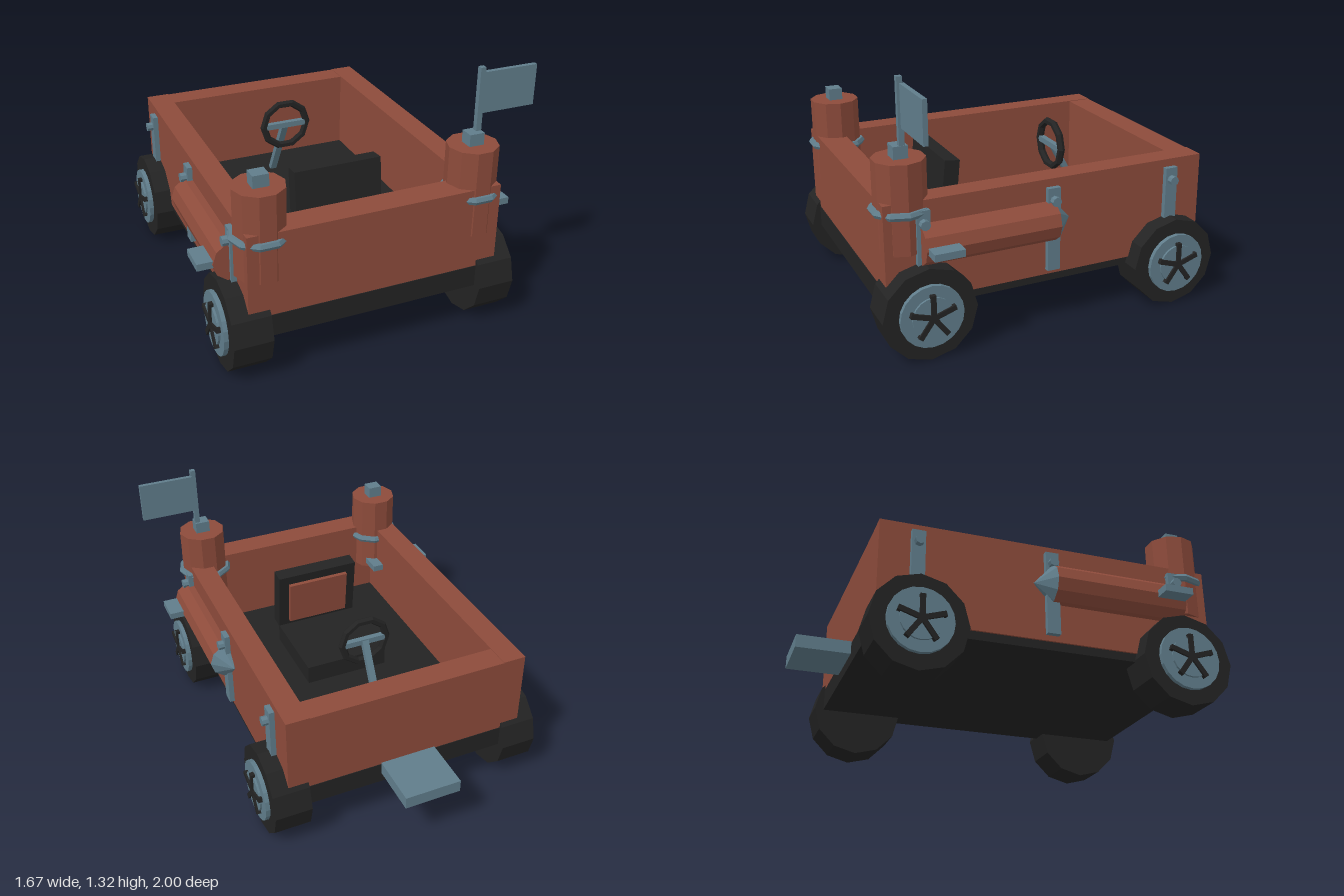
import * as THREE from 'three';

const material = (name, color) => {
  const m = new THREE.MeshStandardMaterial({ color, flatShading: true });
  m.name = name;
  return m;
};

export function createModel() {
  const model = new THREE.Group();
  model.name = 'toyCart';
  const brown = material('redBrown', 0x8d4b3b);
  const steel = material('blueGrey', 0x607d8b);
  const dark = material('charcoal', 0x232323);

  const add = (name, geo, mat, x = 0, y = 0, z = 0, parent = model) => {
    const mesh = new THREE.Mesh(geo, mat);
    mesh.name = name;
    mesh.position.set(x, y, z);
    parent.add(mesh);
    return mesh;
  };
  // Box given by its limits on each axis
  const box = (name, mat, [x0, x1], [y0, y1], [z0, z1], parent) =>
    add(name, new THREE.BoxGeometry(x1 - x0, y1 - y0, z1 - z0), mat,
      (x0 + x1) / 2, (y0 + y1) / 2, (z0 + z1) / 2, parent);
  // Cylinder lying along x
  const disc = (name, mat, r, w, sides, x, y, z, parent) =>
    add(name, new THREE.CylinderGeometry(r, r, w, sides).rotateZ(Math.PI / 2), mat, x, y, z, parent);

  // Tub
  box('chassis', dark, [-0.625, 0.625], [0.225, 0.337], [-0.733, 0.953]);
  box('frontWall', brown, [-0.52, 0.52], [0.33, 0.757], [0.81, 0.95]);
  box('backWall', brown, [-0.52, 0.52], [0.33, 0.757], [-0.73, -0.6]);
  box('backStep', steel, [-0.15, 0.145], [0.28, 0.345], [-1, -0.7]);

  // Seat, facing the back wall
  box('seatCushion', dark, [-0.23, 0.23], [0.33, 0.44], [0.01, 0.46]);
  const backrest = new THREE.Group();
  backrest.name = 'backrest';
  backrest.position.set(0, 0.605, 0.475);
  backrest.rotation.x = -0.1;
  model.add(backrest);
  box('backrestFrame', dark, [-0.23, 0.23], [-0.17, 0.17], [-0.04, 0.04], backrest);
  box('backrestPad', brown, [-0.172, 0.172], [-0.13, 0.12], [-0.062, -0.03], backrest);

  // Steering wheel and column
  add('steeringWheel', new THREE.TorusGeometry(0.125, 0.02, 6, 10), dark, 0, 0.7, -0.205);
  box('steeringSpoke', steel, [-0.115, 0.115], [0.685, 0.715], [-0.22, -0.19]);
  const column = add('steeringColumn', new THREE.BoxGeometry(0.035, 0.42, 0.03), steel, 0, 0.52, -0.312);
  column.rotation.x = Math.atan2(0.2, 0.36);

  // Parts on both sides
  for (const s of [1, -1]) {
    const span = (a, b) => (s > 0 ? [a, b] : [-b, -a]);
    box('sideWall', brown, span(0.515, 0.635), [0.267, 0.76], [-0.73, 0.95]);

    // Corner barrel with cap and hoop
    const bx = s * 0.535, bz = 0.835;
    add('cornerBarrel', new THREE.CylinderGeometry(0.125, 0.125, 0.435, 10).rotateY(Math.PI / 10),
      brown, bx, 0.7275, bz);
    add('barrelCap', new THREE.BoxGeometry(0.077, 0.065, 0.07), steel, bx, 0.973, bz);
    add('barrelHoop', new THREE.TorusGeometry(0.13, 0.02, 6, 10).rotateX(Math.PI / 2),
      steel, bx, 0.705, bz);

    // Long side tube with pointed tip and cross bar
    add('sideTube', new THREE.CylinderGeometry(0.1, 0.1, 0.675, 10).rotateY(Math.PI / 10).rotateX(-Math.PI / 2),
      brown, s * 0.64, 0.553, 0.4475);
    add('tubeTip', new THREE.ConeGeometry(0.1, 0.088, 10).rotateY(Math.PI / 10).rotateX(-Math.PI / 2),
      steel, s * 0.64, 0.553, 0.066);
    box('crossBar', steel, span(0.455, 0.812), [0.533, 0.568], [0.63, 0.777]);

    // Bolted straps
    for (const z of [0.77, 0.112, -0.548]) {
      box('sideStrap', steel, span(0.62, 0.662), [0.295, 0.72], [z - 0.033, z + 0.033]);
      disc('strapBolt', steel, 0.024, 0.05, 8, s * 0.667, 0.658, z);
    }

    // Wheels
    for (const z of [0.77, -0.548]) {
      const wheel = new THREE.Group();
      wheel.name = 'wheel';
      wheel.position.set(s * 0.6275, 0.232, z);
      model.add(wheel);
      disc('tyre', dark, 0.231, 0.19, 12, 0, 0, 0, wheel);
      disc('rim', steel, 0.155, 0.03, 20, s * 0.102, 0, 0, wheel);
      disc('hubPlate', steel, 0.1, 0.012, 20, s * 0.122, 0, 0, wheel);
      for (let i = 0; i < 5; i++) {
        const spoke = add('wheelSpoke', new THREE.BoxGeometry(0.026, 0.115, 0.025).translate(0, 0.0575, 0),
          dark, s * 0.125, 0, 0, wheel);
        spoke.rotation.x = i * Math.PI * 2 / 5;
      }
    }
  }

  // Flag on the left barrel
  box('flagPole', steel, [0.545, 0.572], [1.0, 1.32], [0.813, 0.84]);
  box('flag', steel, [0.565, 0.857], [1.087, 1.29], [0.805, 0.828]);

  // The tub sits slightly off centre because of the flag
  for (const part of model.children) part.position.x -= 0.025;
  return model;
}
